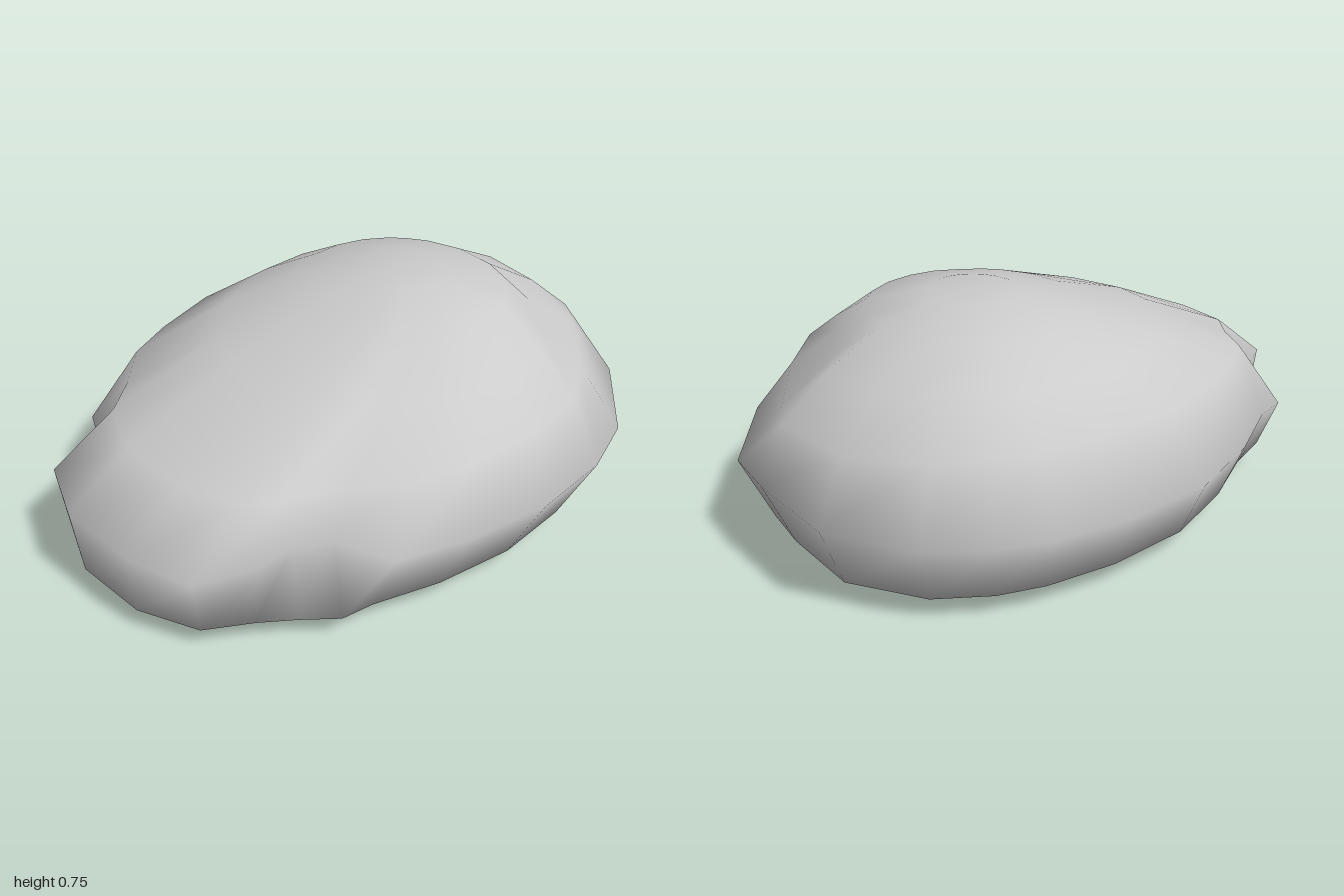
import * as THREE from 'three';

// Widest outline of the stone (x, z), starting at the back and running round by +x
const OUTLINE = [
  [-0.12, -1.0], [0.2, -0.94], [0.39, -0.88], [0.65, -0.6], [0.74, -0.38], [0.775, -0.1],
  [0.74, 0.18], [0.67, 0.41], [0.49, 0.49], [0.43, 0.6], [0.44, 0.73], [0.38, 0.91],
  [0.17, 0.98], [-0.13, 1.0], [-0.36, 0.92], [-0.43, 0.72], [-0.61, 0.64], [-0.66, 0.44],
  [-0.74, 0.19], [-0.78, -0.1], [-0.73, -0.39], [-0.64, -0.62], [-0.55, -0.76], [-0.4, -0.9],
];

// One ring: the outline scaled, shifted in z and blended towards an ellipse.
// height(x, z) gives y; overrides replace single points.
function ring(height, sx, sz, cz, blend = 0, overrides = {}) {
  return OUTLINE.map(([px, pz], i) => {
    const a = Math.atan2(pz, px / 0.78);
    let x = THREE.MathUtils.lerp(px, 0.78 * Math.cos(a), blend) * sx;
    let z = THREE.MathUtils.lerp(pz, Math.sin(a), blend) * sz + cz;
    if (overrides[i]) [x, z] = overrides[i];
    return new THREE.Vector3(x, height(x, z), z);
  });
}

// Skin a stack of rings, listed from the bottom centre up to the crown
function skin(name, rings) {
  const n = OUTLINE.length;
  const index = [];
  for (let r = 0; r < rings.length - 1; r++) {
    for (let i = 0; i < n; i++) {
      const a = r * n + i, b = r * n + (i + 1) % n;
      const c = a + n, d = b + n;
      index.push(b, a, c, b, c, d);
    }
  }
  const geometry = new THREE.BufferGeometry().setFromPoints(rings.flat());
  geometry.setIndex(index);
  geometry.computeVertexNormals();
  const mesh = new THREE.Mesh(geometry, new THREE.MeshStandardMaterial({ color: 0xcccccc }));
  mesh.name = name;
  return mesh;
}

export function createModel() {
  const group = new THREE.Group();
  group.name = 'boulder';

  group.add(skin('stone', [
    // Shallow underside
    ring(() => 0.008, 0, 0, 0.04),
    ring((x) => 0.01 + 0.008 * x, 0.53, 0.66, 0.04, 0.6),
    // Lower rim, which bridges the dent in the +x front flank
    ring(() => 0.083, 0.87, 0.945, 0.035, 0, {
      8: [0.57, 0.53], 9: [0.49, 0.63], 10: [0.42, 0.73], 11: [0.34, 0.87],
      14: [-0.34, 0.9], 15: [-0.42, 0.74], 16: [-0.55, 0.62],
    }),
    // Widest line, dipping at the knob behind the -x side of the nose
    ring((x, z) => (x < -0.6 && z > 0.6 ? 0.25 : 0.295), 1, 1, 0),
    // Shoulder, lower over the nose; the back +x corner is chipped inwards
    ring((x, z) => 0.46 + 0.09 * x * x - 0.02 * x - 0.02 * z, 0.87, 0.85, -0.05, 0.7, {
      2: [0.27, -0.79], 3: [0.5, -0.56],
    }),
    ring((x, z) => 0.61 - 0.03 * x, 0.67, 0.58, -0.16, 0.8, { 2: [0.23, -0.6], 3: [0.38, -0.48] }),
    // Flattened crown
    ring(() => 0.71, 0.46, 0.33, -0.22, 0.9),
    ring((x, z) => 0.758 + 0.03 * (z + 0.2), 0.2, 0.14, -0.235, 1),
    ring(() => 0.754, 0, 0, -0.23),
  ]));
  return group;
}
